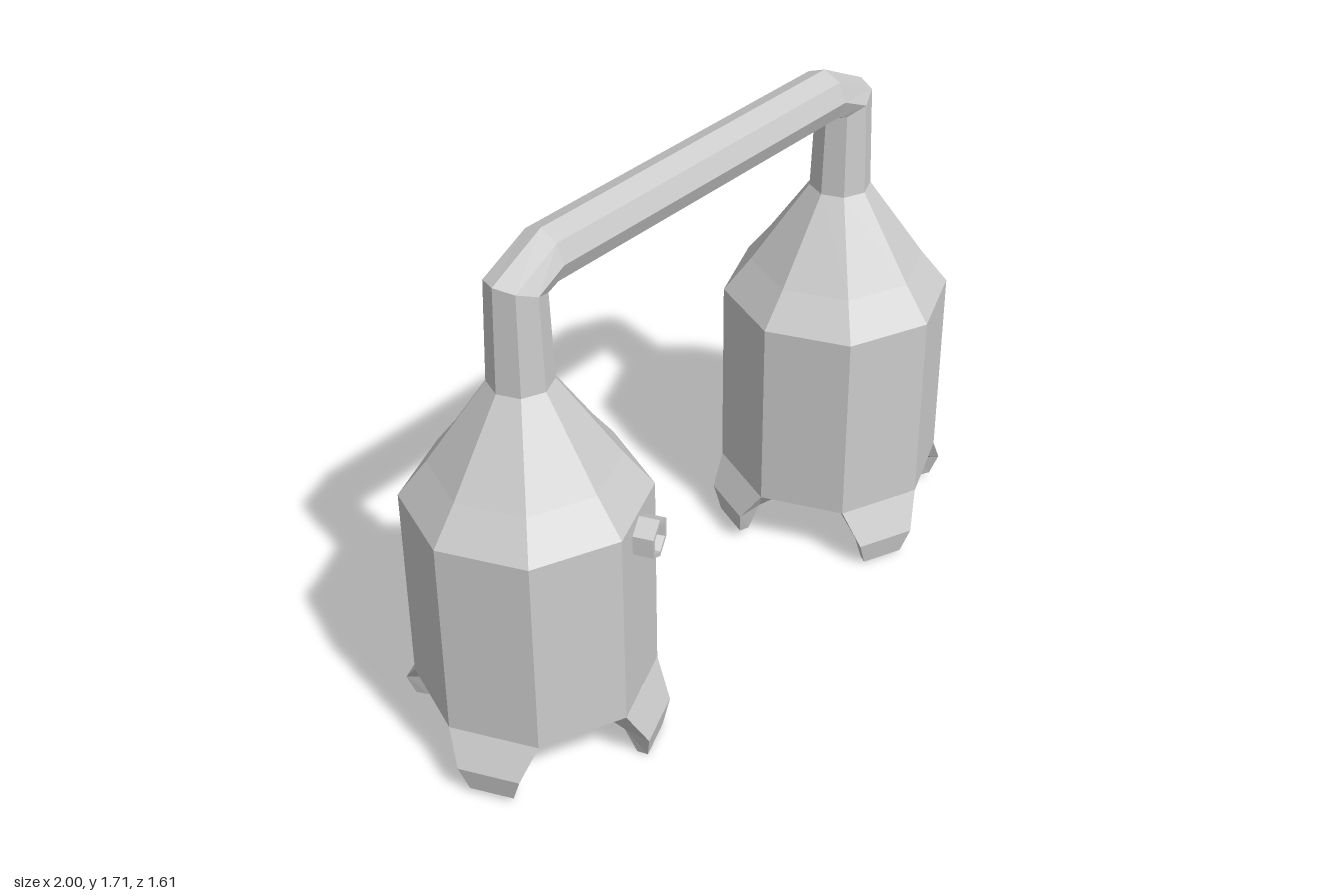
import * as THREE from 'three';

const material = new THREE.MeshStandardMaterial({ color: 0xcccccc, flatShading: true });
const HALF_SPAN = 0.728; // tank centre to model centre
const rad = THREE.MathUtils.degToRad;

function part(name, geometry) {
  const mesh = new THREE.Mesh(geometry, material);
  mesh.name = name;
  return mesh;
}

// Skin closed cross-sections; optionally close the last one
function loft(rings, capEnd) {
  const n = rings[0].length;
  const positions = [];
  const tri = (...pts) => pts.forEach((p) => positions.push(...p));
  for (let i = 0; i < rings.length - 1; i++) {
    for (let j = 0; j < n; j++) {
      const k = (j + 1) % n;
      const a = rings[i][j], b = rings[i][k], c = rings[i + 1][k], d = rings[i + 1][j];
      tri(a, d, c);
      tri(a, c, b);
    }
  }
  if (capEnd) {
    const r = rings[rings.length - 1];
    for (let j = 1; j < n - 1; j++) tri(r[0], r[j + 1], r[j]);
  }
  const geometry = new THREE.BufferGeometry();
  geometry.setAttribute('position', new THREE.Float32BufferAttribute(positions, 3));
  geometry.computeVertexNormals();
  return geometry;
}

// Eight-sided tank with bevelled base and tapering shoulder
function tankBody() {
  const profile = [[0, 0.165], [0.28, 0.165], [0.37, 0.215], [0.37, 0.885], [0.282, 1.0], [0.098, 1.27]];
  return part('tankBody', new THREE.LatheGeometry(profile.map((p) => new THREE.Vector2(...p)), 8));
}

// Claw-like leg: hugs one tank face, flares to a knee, then turns down
function leg(angle, footY) {
  const section = (outer, yOuter, halfOuter, inner, yInner, halfInner) => [
    [outer, yOuter, halfOuter], [outer, yOuter, -halfOuter],
    [inner, yInner, -halfInner], [inner, yInner, halfInner],
  ];
  const mesh = part('leg', loft([
    section(0.342, 0.215, 0.1415, 0.259, 0.165, 0.107),
    section(0.397, footY + 0.09, 0.098, 0.312, footY + 0.1, 0.08),
    section(0.382, footY + 0.005, 0.07, 0.345, footY, 0.062),
  ], true));
  mesh.rotation.y = -rad(angle);
  return mesh;
}

// Hollow hexagonal port on a tank face
function port(angle) {
  const profile = [[0.065, 0.32], [0.065, 0.405], [0.05, 0.405], [0.044, 0.355], [0, 0.355]];
  const geometry = new THREE.LatheGeometry(profile.map((p) => new THREE.Vector2(...p)), 6, Math.PI / 6);
  geometry.rotateZ(-Math.PI / 2);
  const mesh = part('port', geometry);
  mesh.position.y = 0.805;
  mesh.rotation.y = -rad(angle);
  return mesh;
}

// Octagonal pipe: up from one neck, chamfered elbow, across, and down again
function connectingPipe() {
  const ring = (radius, place) => Array.from({ length: 8 }, (_, j) => {
    const a = (j * Math.PI) / 4;
    const [x, y] = place(radius * Math.cos(a));
    return [x - HALF_SPAN, y, radius * Math.sin(a)];
  });
  const half = [
    ring(0.098, (u) => [u, 1.27]),
    ring(0.088, (u) => [u, 1.575 - 0.4 * u]),
    ring(0.085, (u) => [0.105, 1.625 - u]),
  ];
  const mirrored = half.map((r) => r.map(([x, y, z]) => [-x, y, z])).reverse();
  return part('connectingPipe', loft([...half, ...mirrored], false));
}

export function createModel() {
  const model = new THREE.Group();
  model.name = 'twinTanks';

  // The pair stands diagonally
  const assembly = new THREE.Group();
  assembly.name = 'assembly';
  assembly.rotation.y = rad(34.2);
  assembly.position.set(-0.028, 0, -0.005);
  model.add(assembly);

  const legs = [[67.5, 0.005], [157.5, 0.02], [-22.5, 0.03], [247.5, 0.04]];
  for (const side of [-1, 1]) {
    const tank = new THREE.Group();
    tank.name = side < 0 ? 'rightTank' : 'leftTank';
    tank.position.x = side * HALF_SPAN;
    tank.add(tankBody());
    // Legs are mirrored between the two tanks
    for (const [angle, footY] of legs) tank.add(leg(side < 0 ? angle : 180 - angle, footY));
    if (side < 0) tank.add(port(67.5));
    assembly.add(tank);
  }
  assembly.add(connectingPipe());
  return model;
}
